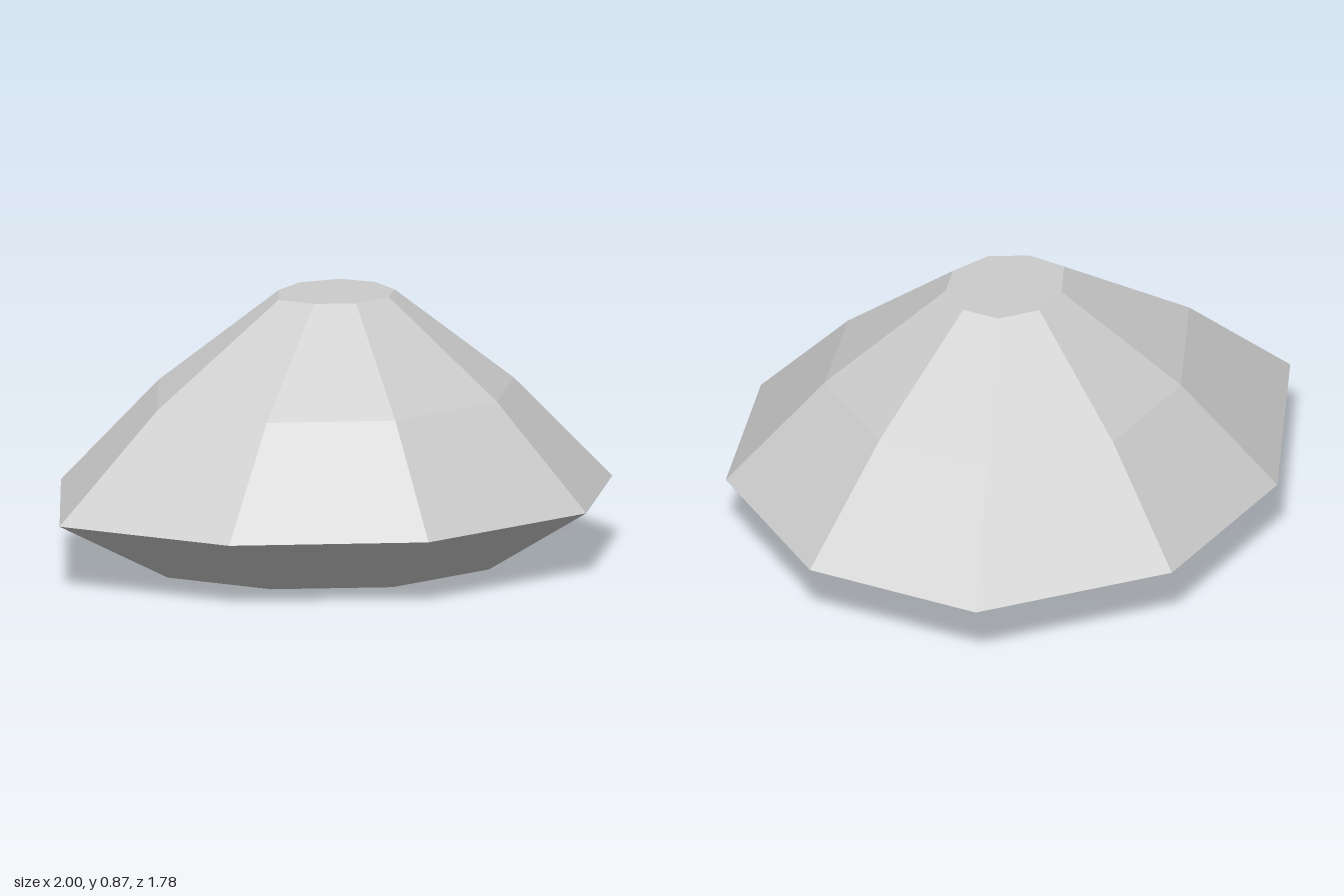
import * as THREE from 'three';

// Irregular nine-sided outline of the widest ring, as x, z
const outline = [
  [1, 0], [0.76, 0.58], [0.24, 0.89], [-0.44, 0.78], [-0.89, 0.31],
  [-1, -0.31], [-0.41, -0.78], [0.23, -0.89], [0.84, -0.58],
];

// Horizontal rings from base to top: height, scale and sideways shift
const rings = [
  { y: 0, scale: 0.61, shift: 0.02 },
  { y: 0.22, scale: 1, shift: 0 },
  { y: 0.56, scale: 0.645, shift: 0.015 },
  { y: 0.87, scale: 0.21, shift: 0.04 },
];

function rockGeometry() {
  const n = outline.length;
  const positions = [];
  const index = [];
  for (const { y, scale, shift } of rings) {
    for (const [x, z] of outline) positions.push(x * scale + shift, y, z * scale);
  }
  // Sloping facets between neighbouring rings
  for (let r = 0; r < rings.length - 1; r++) {
    for (let i = 0; i < n; i++) {
      const j = (i + 1) % n;
      const a = r * n + i, b = r * n + j, c = a + n, d = b + n;
      index.push(a, c, d, a, d, b);
    }
  }
  // Flat base and flat top
  const top = (rings.length - 1) * n;
  for (let i = 1; i < n - 1; i++) {
    index.push(0, i, i + 1);
    index.push(top, top + i + 1, top + i);
  }
  const geometry = new THREE.BufferGeometry();
  geometry.setAttribute('position', new THREE.Float32BufferAttribute(positions, 3));
  geometry.setIndex(index);
  const flat = geometry.toNonIndexed();
  flat.computeVertexNormals();
  return flat;
}

export function createModel() {
  const stone = new THREE.MeshStandardMaterial({ color: 0xcccccc, flatShading: true });
  stone.name = 'stone grey';
  const rock = new THREE.Mesh(rockGeometry(), stone);
  rock.name = 'facetedRock';
  const group = new THREE.Group();
  group.name = 'rock';
  group.add(rock);
  return group;
}
